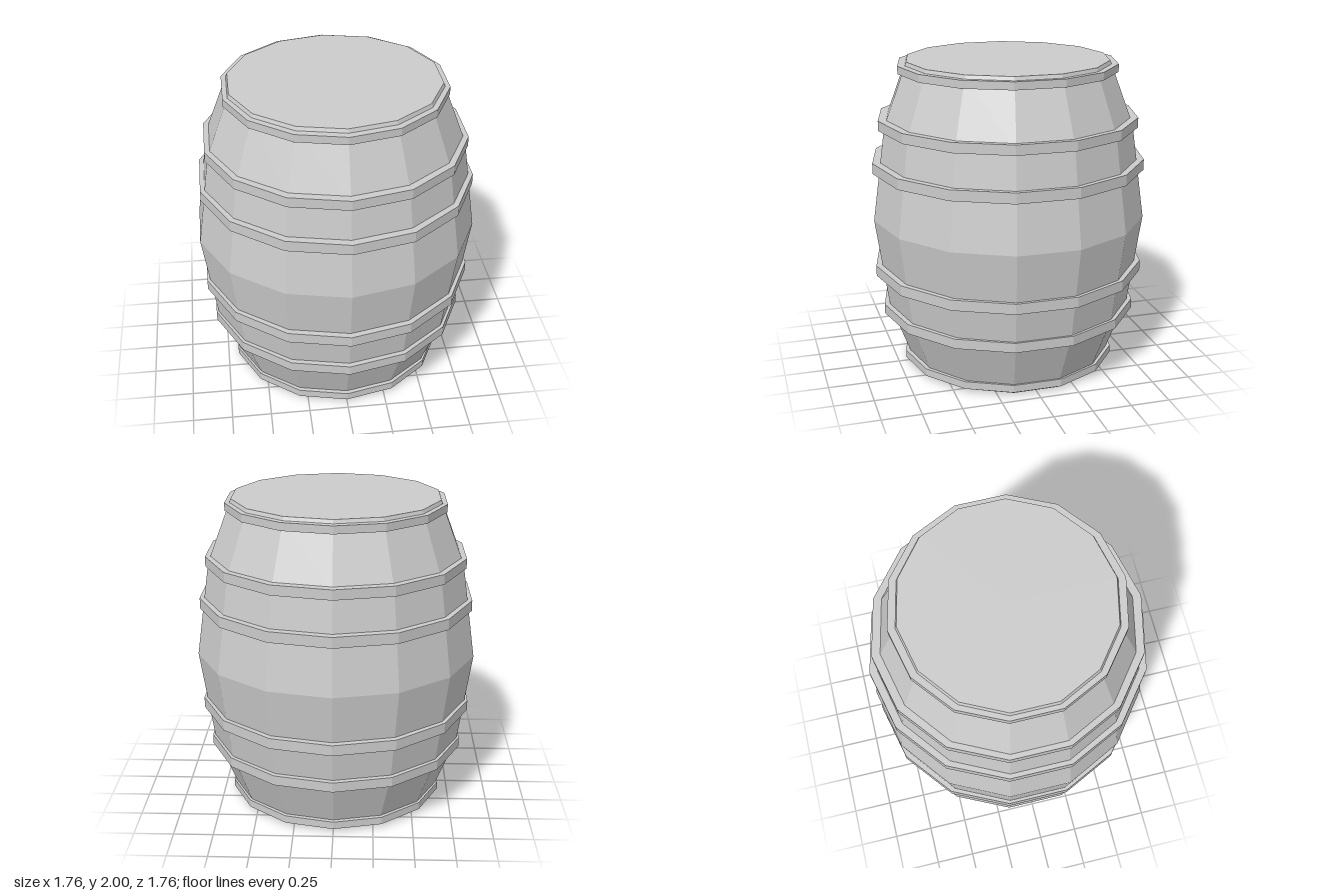
import * as THREE from 'three';

const SIDES = 14;
const material = new THREE.MeshStandardMaterial({ color: 0xcccccc, flatShading: true });

// Faceted solid turned from a profile of [radius, height] pairs, listed bottom to top on the outside
function turned(name, profile) {
  const points = profile.map(([r, y]) => new THREE.Vector2(r, y));
  const geometry = new THREE.LatheGeometry(points, SIDES).toNonIndexed();
  geometry.computeVertexNormals();
  const mesh = new THREE.Mesh(geometry, material);
  mesh.name = name;
  return mesh;
}

export function createModel() {
  const barrel = new THREE.Group();
  barrel.name = 'barrel';

  // Bulging body with flat lids, squeezed slightly so width equals depth
  const body = turned('body', [
    [0, 0], [0.661, 0], [0.815, 0.4], [0.902, 1], [0.815, 1.6], [0.661, 2], [0, 2],
  ]);
  body.scale.z = 0.975;
  barrel.add(body);

  // Hoops, mirrored about mid-height: radius, lower and upper distance from the middle
  const hoops = [
    ['innerHoop', 0.877, 0.307, 0.375],
    ['middleHoop', 0.832, 0.58, 0.643],
    ['endHoop', 0.7, 0.928, 0.977],
  ];
  for (const [name, radius, low, high] of hoops) {
    for (const side of [1, -1]) {
      const bottom = side > 0 ? 1 + low : 1 - high;
      const top = side > 0 ? 1 + high : 1 - low;
      const inner = radius - 0.09;
      barrel.add(turned(name + (side > 0 ? 'Upper' : 'Lower'), [
        [inner, bottom], [radius, bottom], [radius, top], [inner, top], [inner, bottom],
      ]));
    }
  }
  return barrel;
}
